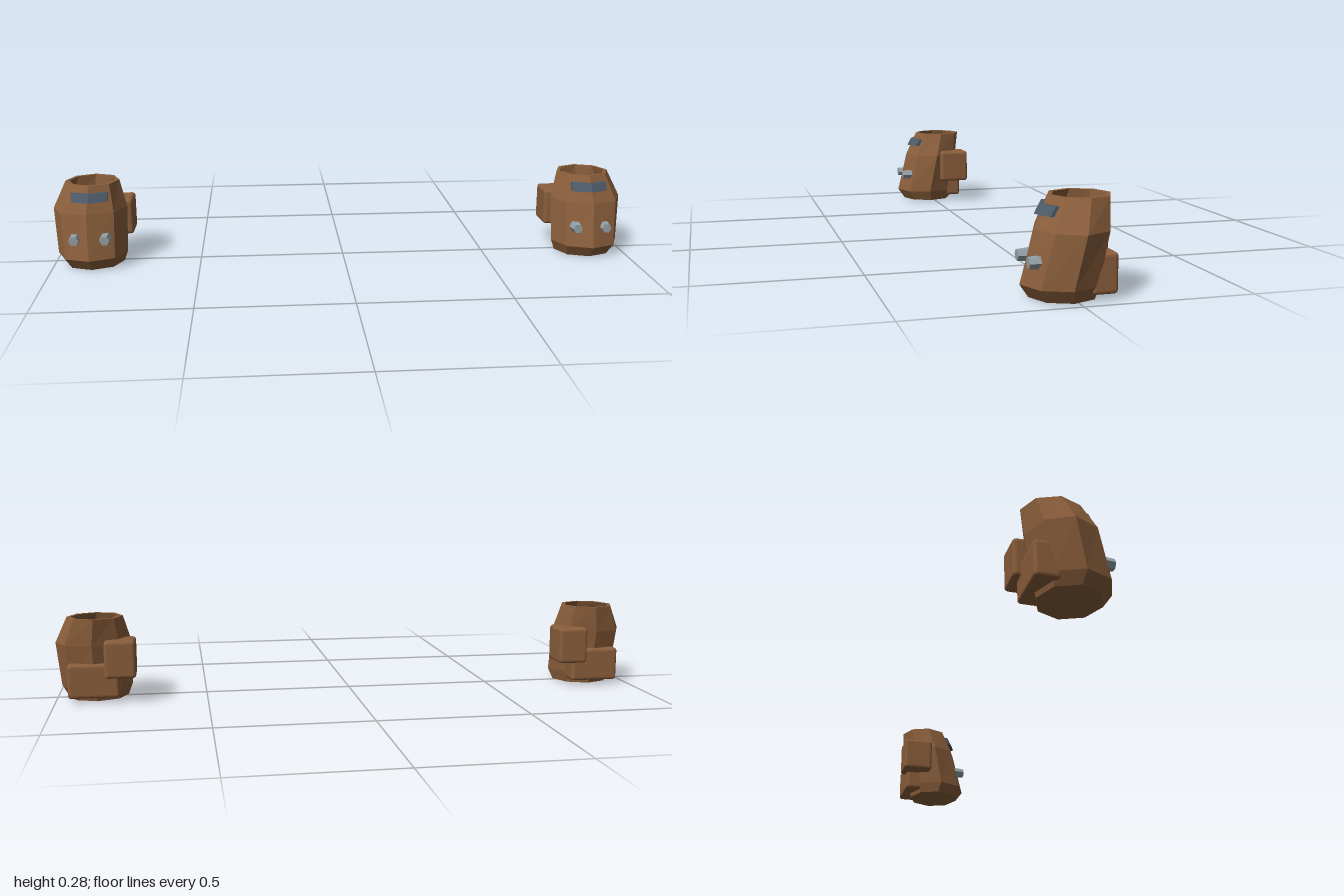
import * as THREE from 'three';
import { RoundedBoxGeometry } from 'three/addons/geometries/RoundedBoxGeometry.js';

const material = (color, extra = {}) => new THREE.MeshStandardMaterial({ color, flatShading: true, ...extra });
const brown = material(0x8b5f3c);
const slate = material(0x4c5b68);
const steel = material(0x93a0a6);

const CENTRE = 0.865;
const SIDES = 8;
const WALL = 0.013;

// Hollow octagonal shell that leans back towards its open top
function shellGeometry(side) {
  // height, x shift outwards, centre z, x radius, z radius
  const outer = [
    [0, 0, 0.013, 0.099, 0.097],
    [0.038, 0.004, 0.022, 0.118, 0.115],
    [0.19, 0.009, -0.009, 0.125, 0.108],
    [0.28, 0, -0.033, 0.0915, 0.0915],
  ];
  const inner = outer.map(([y, dx, z, rx, rz]) => [Math.max(y, 0.015), dx, z, rx - WALL, rz - WALL]).reverse();
  const rings = [...outer, ...inner];
  const positions = [], index = [];
  for (const [y, dx, cz, rx, rz] of rings) {
    for (let i = 0; i < SIDES; i++) {
      const a = (i / SIDES) * Math.PI * 2;
      positions.push(side * dx + rx * Math.sin(a), y, cz + rz * Math.cos(a));
    }
  }
  const at = (ring, i) => ring * SIDES + (i % SIDES);
  for (let r = 0; r < rings.length - 1; r++) {
    for (let i = 0; i < SIDES; i++) {
      const a = at(r, i), b = at(r, i + 1), c = at(r + 1, i + 1), d = at(r + 1, i);
      index.push(a, b, c, a, c, d);
    }
  }
  // underside and inner floor
  const last = rings.length - 1;
  for (let i = 1; i < SIDES - 1; i++) {
    index.push(at(0, 0), at(0, i + 1), at(0, i));
    index.push(at(last, 0), at(last, i), at(last, i + 1));
  }
  const geometry = new THREE.BufferGeometry();
  geometry.setAttribute('position', new THREE.Float32BufferAttribute(positions, 3));
  geometry.setIndex(index);
  const flat = geometry.toNonIndexed();
  flat.computeVertexNormals();
  return flat;
}

// Chevron slab wrapped over the front ridge, sheared to follow the slope
function visorGeometry() {
  const w = 0.0615, height = 0.028, drop = 0.0255, depth = 0.02;
  const shape = new THREE.Shape([
    [0, 0], [w, drop], [w, drop + depth], [0, depth], [-w, drop + depth], [-w, drop],
  ].map(([x, y]) => new THREE.Vector2(x, y)));
  const geometry = new THREE.ExtrudeGeometry(shape, { depth: height, bevelEnabled: false });
  geometry.rotateX(-Math.PI / 2);
  const p = geometry.attributes.position;
  for (let i = 0; i < p.count; i++) p.setZ(i, p.getZ(i) - 0.55 * p.getY(i));
  geometry.computeVertexNormals();
  return geometry;
}

function add(group, name, geometry, mat, x = 0, y = 0, z = 0) {
  const mesh = new THREE.Mesh(geometry, mat);
  mesh.name = name;
  mesh.position.set(x, y, z);
  group.add(mesh);
  return mesh;
}

function createPod(side) {
  const pod = new THREE.Group();
  pod.name = side > 0 ? 'leftPod' : 'rightPod';
  pod.position.x = side * CENTRE;

  add(pod, 'shell', shellGeometry(side), brown);
  add(pod, 'visor', visorGeometry(), slate, 0, 0.229, 0.096);

  // pair of hexagonal studs on the front
  const stud = new THREE.CylinderGeometry(0.017, 0.021, 0.04, 6);
  stud.rotateY(Math.PI / 6);
  stud.rotateX(Math.PI / 2);
  for (const s of [-1, 1]) add(pod, 'stud', stud, steel, s * 0.051, 0.107, 0.108);

  // pouches: a low one across the back, a higher one on the inner side
  add(pod, 'backPouch', new RoundedBoxGeometry(0.168, 0.115, 0.076, 2, 0.011), brown,
    side * 0.008, 0.073, -0.078);
  add(pod, 'innerPouch', new RoundedBoxGeometry(0.102, 0.125, 0.113, 2, 0.011), brown,
    -side * 0.081, 0.146, -0.08);
  return pod;
}

export function createModel() {
  const model = new THREE.Group();
  model.name = 'podPair';
  for (const side of [-1, 1]) model.add(createPod(side));
  return model;
}
